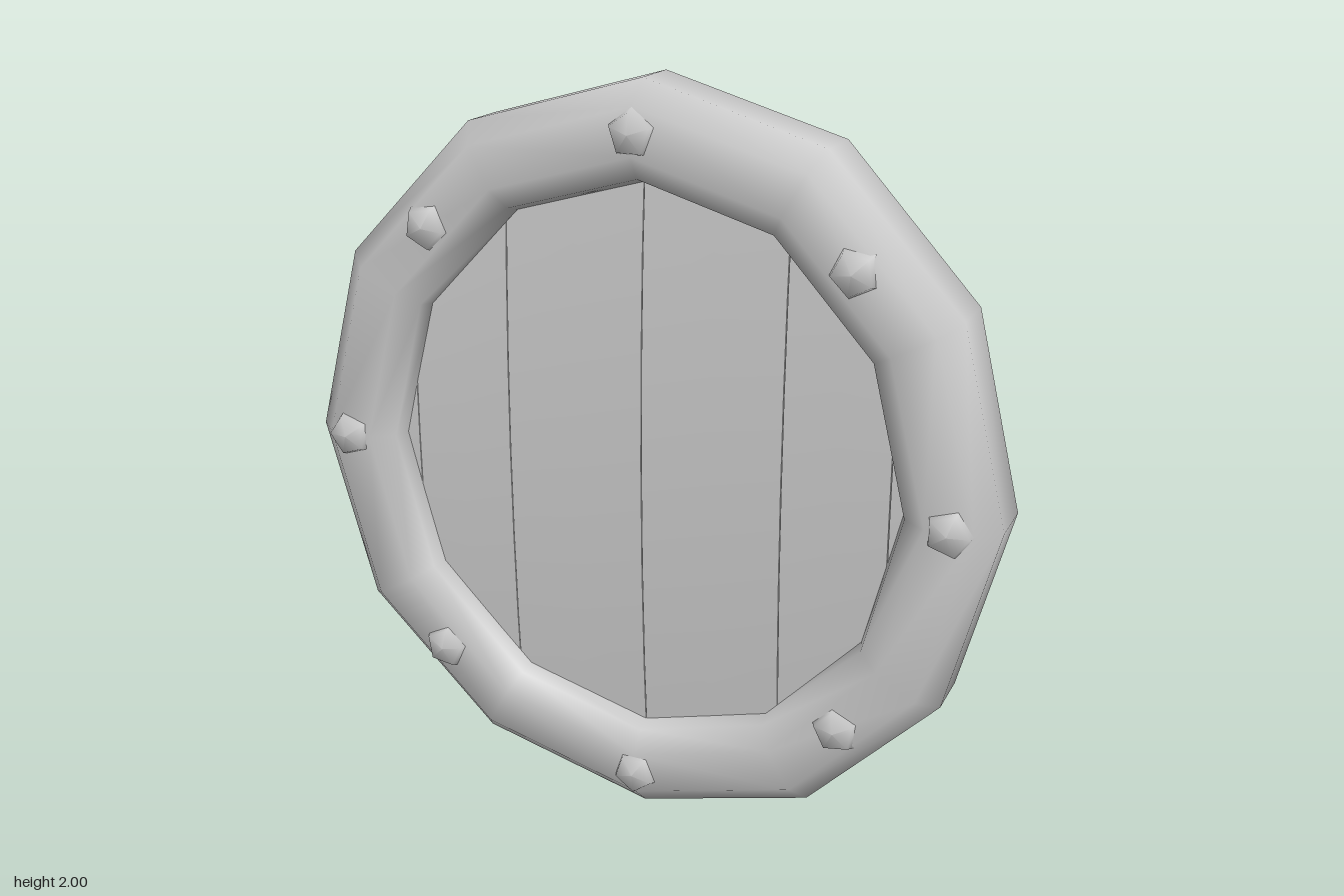
import * as THREE from 'three';

const RX = 0.957, RY = 1;
// the whole shield bows gently backwards towards top and bottom
const bend = (y) => -0.046 * y * y;

function ringGeometry() {
  // cross-section: [inset from rim, z]
  const section = [[0, 0.02], [0, 0.16], [0.06, 0.217], [0.18, 0.217], [0.24, 0.175],
    [0.253, 0.13], [0.253, 0], [0.235, -0.022], [0.18, -0.042], [0.06, -0.04]];
  const sides = 12, m = section.length, pos = [], idx = [];
  for (let i = 0; i < sides; i++) {
    const a = (i / sides) * Math.PI * 2;
    for (const [d, z] of section) {
      const y = (RY - d) * Math.sin(a);
      pos.push((RX - d) * Math.cos(a), y, z + bend(y));
    }
    for (let j = 0; j < m; j++) {
      const i2 = (i + 1) % sides, j2 = (j + 1) % m;
      const p = i * m + j, q = i2 * m + j, r = i2 * m + j2, s = i * m + j2;
      idx.push(p, q, s, q, r, s);
    }
  }
  const g = new THREE.BufferGeometry();
  g.setAttribute('position', new THREE.Float32BufferAttribute(pos, 3));
  g.setIndex(idx);
  g.computeVertexNormals();
  return g;
}

// thick board cut to the round outline, bowed with the shield, slightly narrower at the back
function plankGeometry(x0, x1) {
  const mid = (x0 + x1) / 2, half = (x1 - x0) / 2;
  const g = new THREE.BoxGeometry(2, 2, 1, 2, 6, 1);
  const p = g.attributes.position;
  for (let i = 0; i < p.count; i++) {
    const front = p.getZ(i) > 0;
    const x = mid + p.getX(i) * (half - (front ? 0.001 : 0.008));
    const y = p.getY(i) * 0.85 * Math.sqrt(Math.max(0, 1 - (x / 0.83) ** 2));
    p.setXYZ(i, x, y, (front ? 0.132 : -0.016) + bend(y));
  }
  g.computeVertexNormals();
  return g;
}

// five-sided domed stud facing +z, one corner pointing along angle a
function studGeometry(radius, height, a) {
  const profile = [[radius, 0], [radius * 0.8, height * 0.75], [0, height]]
    .map(([r, h]) => new THREE.Vector2(r, h));
  return new THREE.LatheGeometry(profile, 5).rotateX(Math.PI / 2).rotateZ(a + Math.PI / 2);
}

export function createModel() {
  const group = new THREE.Group();
  const grey = new THREE.MeshStandardMaterial({ color: 0xcccccc });
  grey.name = 'plainGrey';
  const add = (name, geometry, x = 0, y = 0, z = 0) => {
    const mesh = new THREE.Mesh(geometry, grey);
    mesh.name = name;
    mesh.position.set(x, y + 1, z);
    group.add(mesh);
  };

  add('rim', ringGeometry());

  // boards with narrow gaps between them
  const seams = [-0.8, -0.668, -0.385, 0, 0.385, 0.668, 0.8];
  for (let i = 0; i < seams.length - 1; i++) {
    add('plank', plankGeometry(seams[i], seams[i + 1]));
  }

  // studs around the front of the rim, the diagonal ones sitting on its flat stretches
  for (let i = 0; i < 8; i++) {
    const a = (i / 8) * Math.PI * 2;
    const k = i % 2 ? 0.968 : 1;
    const y = 0.875 * k * Math.sin(a);
    add('rimStud', studGeometry(0.068, 0.04, a), 0.838 * k * Math.cos(a), y, 0.202 + bend(y));
  }

  // arched grip across the back, outlined in x and z
  const outline = [[-0.84, -0.055], [-0.5, -0.205], [0, -0.24], [0.5, -0.205], [0.84, -0.055],
    [0.72, -0.02], [0.5, -0.122], [0, -0.158], [-0.5, -0.122], [-0.72, -0.02]];
  const gripShape = new THREE.Shape(outline.map(([x, z]) => new THREE.Vector2(x, z)));
  const grip = new THREE.ExtrudeGeometry(gripShape, { depth: 0.15, bevelEnabled: false });
  add('grip', grip.rotateX(Math.PI / 2).translate(0, 0.078, 0));

  // bevelled mounting plates with three small studs each
  const w = 0.042, h = 0.205, c = 0.03;
  const plateShape = new THREE.Shape([[-w, -h + c], [-w + c, -h], [w - c, -h], [w, -h + c],
    [w, h - c], [w - c, h], [-w + c, h], [-w, h - c]].map(([x, y]) => new THREE.Vector2(x, y)));
  for (const side of [-1, 1]) {
    const plate = new THREE.ExtrudeGeometry(plateShape, {
      depth: 0.015, bevelThickness: 0.03, bevelSize: 0.03, bevelSegments: 1,
    });
    add('gripPlate', plate.rotateY(side * 0.1), side * 0.805, 0, -0.045);
    for (const [x, y] of [[0.805, 0.165], [0.84, 0], [0.805, -0.165]]) {
      add('plateStud', studGeometry(0.03, 0.018, 0).rotateY(Math.PI), side * x, y, -0.07);
    }
  }
  return group;
}
